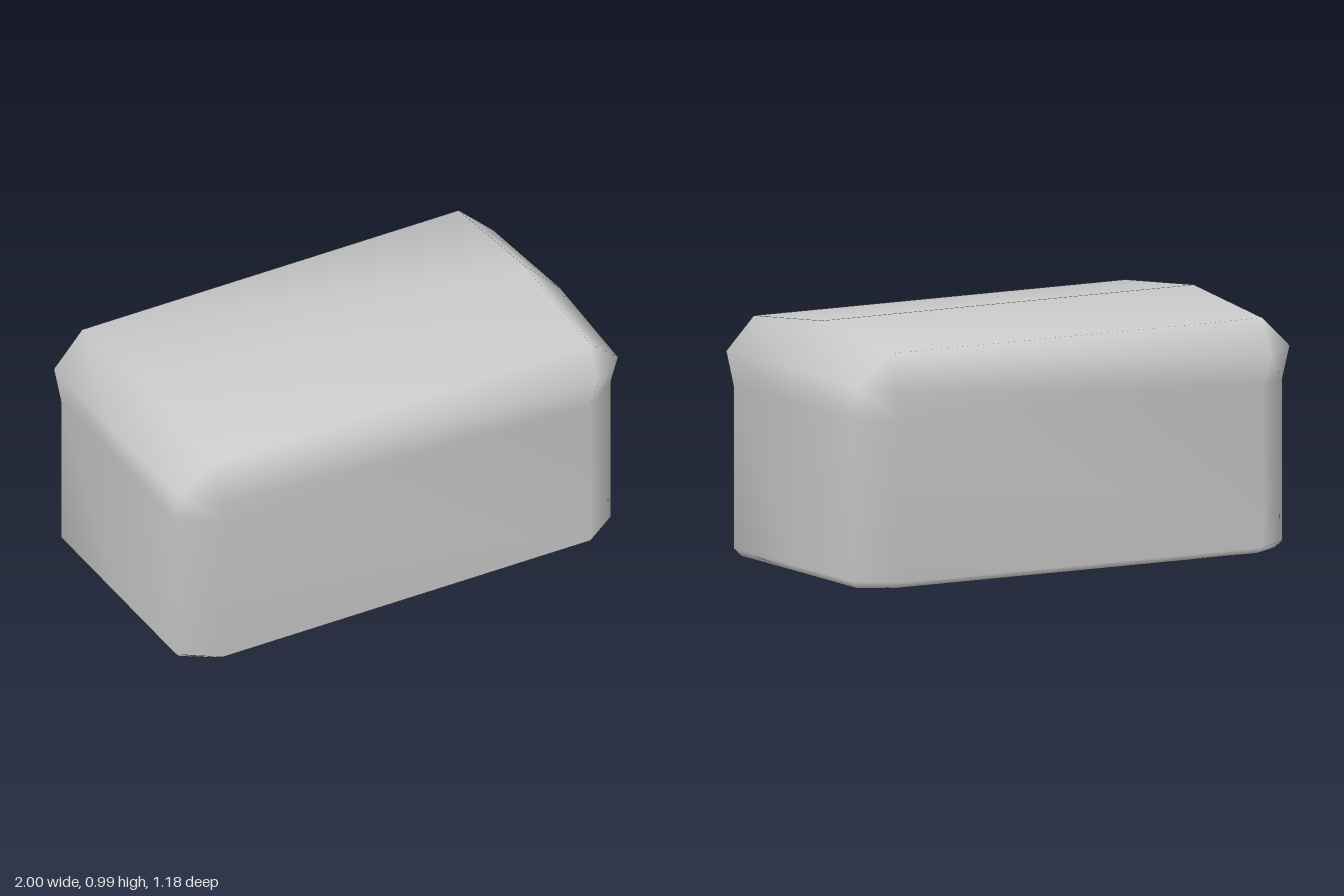
import * as THREE from 'three';
import { mergeVertices } from 'three/addons/utils/BufferGeometryUtils.js';

// One horizontal ring, mirrored from three points [x, y, z]:
// middle of the end, end side of the corner, long side of the corner.
function ring(mid, end, side) {
  const flip = ([x, y, z], sx, sz) => [x * sx, y, z * sz];
  return [
    mid, end, side, flip(side, -1, 1), flip(end, -1, 1),
    flip(mid, -1, 1), flip(end, -1, -1), flip(side, -1, -1), flip(side, 1, -1), flip(end, 1, -1),
  ];
}

// Cross-sections from the base up to the ridged top
const rings = [
  ring([0.945, 0, 0], [0.945, 0, 0.44], [0.82, 0, 0.52]),
  ring([0.97, 0.03, 0], [0.97, 0.03, 0.46], [0.82, 0.03, 0.565]),
  ring([0.97, 0.67, 0], [0.97, 0.67, 0.46], [0.82, 0.67, 0.565]),
  ring([1, 0.825, 0], [0.98, 0.805, 0.5], [0.84, 0.78, 0.59]),
  ring([0.84, 0.985, 0], [0.84, 0.93, 0.525], [0.84, 0.93, 0.525]),
];

function loafGeometry() {
  const positions = [];
  const same = (a, b) => a.every((v, i) => v === b[i]);
  const tri = (a, b, c) => {
    if (!same(a, b) && !same(b, c) && !same(a, c)) positions.push(...a, ...b, ...c);
  };
  // Walls between neighbouring rings
  for (let r = 0; r < rings.length - 1; r++) {
    const low = rings[r], high = rings[r + 1];
    for (let i = 0; i < low.length; i++) {
      const j = (i + 1) % low.length;
      tri(low[i], high[i], high[j]);
      tri(low[i], high[j], low[j]);
    }
  }
  // Flat base
  const base = rings[0];
  for (let i = 1; i < base.length - 1; i++) tri(base[0], base[i], base[i + 1]);
  // Two slopes meeting at the ridge
  const top = rings[rings.length - 1];
  for (const [a, b, c, d] of [[0, 5, 3, 2], [0, 8, 7, 5]]) {
    tri(top[a], top[b], top[c]);
    tri(top[a], top[c], top[d]);
  }
  const raw = new THREE.BufferGeometry();
  raw.setAttribute('position', new THREE.Float32BufferAttribute(positions, 3));
  const geometry = mergeVertices(raw, 1e-4);
  geometry.computeVertexNormals();
  return geometry;
}

export function createModel() {
  const group = new THREE.Group();
  group.name = 'breadLoaf';
  const loaf = new THREE.Mesh(loafGeometry(), new THREE.MeshStandardMaterial({ color: 0xcccccc }));
  loaf.name = 'loaf';
  group.add(loaf);
  return group;
}
